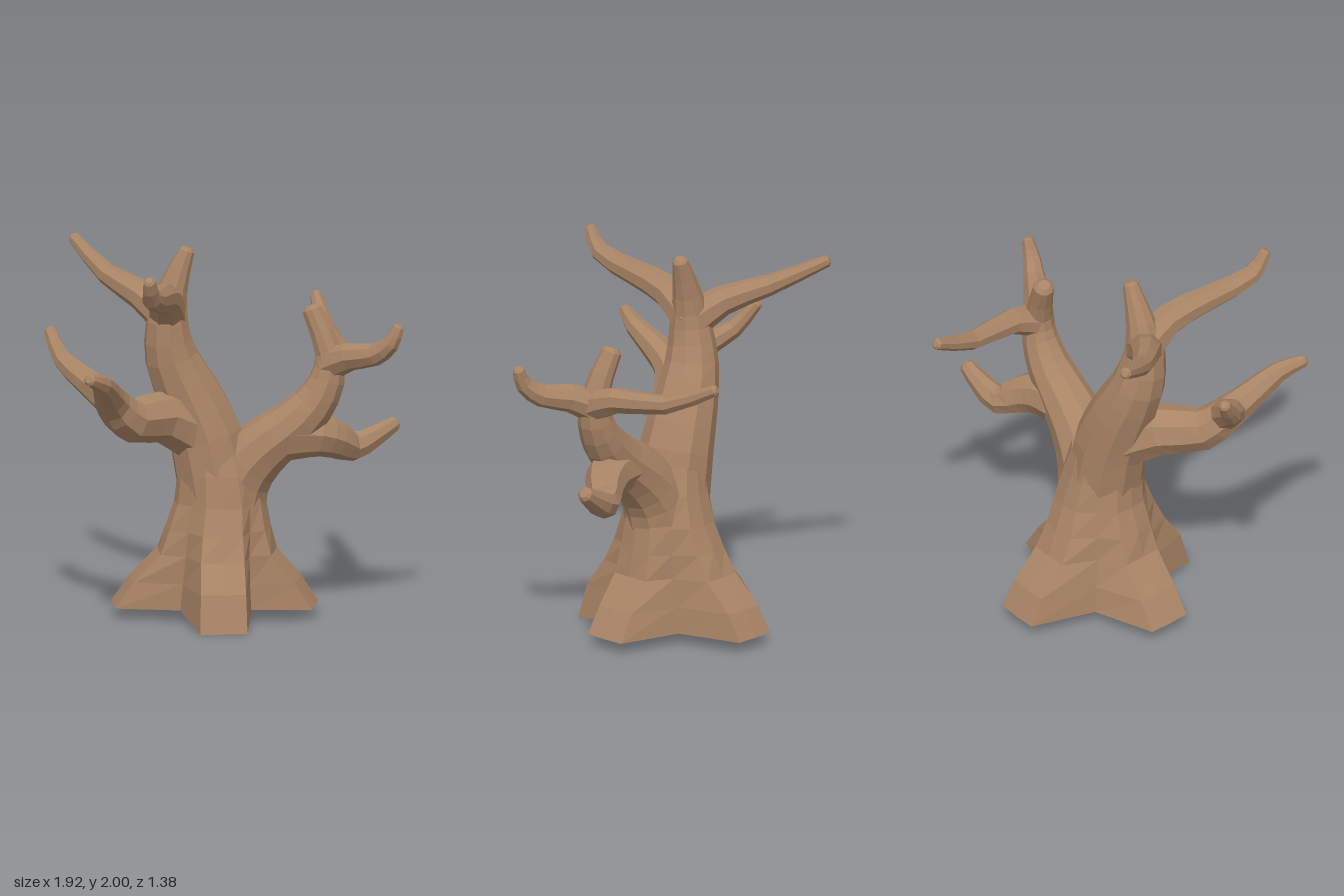
import * as THREE from 'three';

// Skin closed rings of points (counter-clockwise about the growth direction) with flat facets.
function loft(rings) {
  const n = rings[0].length;
  const pos = [];
  const tri = (...pts) => pts.forEach((p) => pos.push(p.x, p.y, p.z));
  const centre = (ring) => ring.reduce((s, p) => s.add(p), new THREE.Vector3()).divideScalar(n);
  for (let k = 0; k < rings.length - 1; k++) {
    const a = rings[k], b = rings[k + 1];
    for (let i = 0; i < n; i++) {
      const j = (i + 1) % n;
      tri(a[i], a[j], b[j]);
      tri(a[i], b[j], b[i]);
    }
  }
  const first = rings[0], last = rings[rings.length - 1];
  const c0 = centre(first), c1 = centre(last);
  for (let i = 0; i < n; i++) {
    const j = (i + 1) % n;
    tri(c0, first[j], first[i]);
    tri(c1, last[i], last[j]);
  }
  const geo = new THREE.BufferGeometry();
  geo.setAttribute('position', new THREE.Float32BufferAttribute(pos, 3));
  geo.computeVertexNormals();
  return geo;
}

// Limb along a curve, tapering from radius r0 to r1, with a small bevelled tip.
function limbGeometry(sides, r0, r1, power, path) {
  const curve = new THREE.CatmullRomCurve3(path.map((p) => new THREE.Vector3(...p)));
  const steps = (path.length - 1) * 2;
  const normal = new THREE.Vector3(0.31, 0.12, 0.94);
  const makeRing = (c, t, r) => {
    normal.addScaledVector(t, -normal.dot(t)).normalize();
    const binormal = new THREE.Vector3().crossVectors(t, normal);
    return Array.from({ length: sides }, (_, i) => {
      const a = (i / sides) * Math.PI * 2;
      return c.clone().addScaledVector(normal, Math.cos(a) * r).addScaledVector(binormal, Math.sin(a) * r);
    });
  };
  const rings = [];
  for (let s = 0; s <= steps; s++) {
    const t = s / steps;
    rings.push(makeRing(curve.getPoint(t), curve.getTangent(t), r0 + (r1 - r0) * t ** power));
  }
  const end = curve.getTangent(1);
  rings.push(makeRing(curve.getPoint(1).addScaledVector(end, r1 * 0.4), end, r1 * 0.6));
  return loft(rings);
}

// Trunk base: four squared roots that melt into a round trunk.
function trunkGeometry() {
  const roots = [-17, 60, 155, 252].map(THREE.MathUtils.degToRad);
  // height, front/back reach, side reach, root half width, valley radius, centre x, centre z
  const levels = [
    [0.06, 0.54, 0.535, 0.125, 0.28, 0, 0],
    [0.2, 0.475, 0.44, 0.12, 0.265, 0, 0.01],
    [0.35, 0.35, 0.305, 0.115, 0.25, 0, 0.03],
    [0.48, 0.285, 0.265, 0.105, 0.245, 0.005, 0.035],
    [0.62, 0.235, 0.23, 0.095, 0.23, 0.015, 0.04],
    [0.78, 0.2, 0.205, 0.085, 0.21, 0.005, 0.045],
    [0.93, 0.165, 0.165, 0.07, 0.175, -0.015, 0.03],
  ];
  return loft(levels.map(([y, frontReach, sideReach, half, valley, cx, cz], level) => {
    const ring = [];
    roots.forEach((a, k) => {
      const next = k < 3 ? roots[k + 1] : roots[0] + Math.PI * 2;
      const mid = (a + next) / 2;
      const dx = Math.sin(a), dz = Math.cos(a);
      const reach = k % 2 ? sideReach : frontReach;
      // the front root reaches slightly lower than the others
      const h = level === 0 && k === 0 ? 0 : y;
      for (const s of [-1, 0, 1]) {
        const r = s === 0 ? reach * (level > 2 ? 1.06 : 1.01) : reach;
        ring.push(new THREE.Vector3(cx + dx * r + dz * half * s, h, cz + dz * r - dx * half * s));
      }
      ring.push(new THREE.Vector3(cx + Math.sin(mid) * valley, y, cz + Math.cos(mid) * valley));
    });
    return ring;
  }));
}

export function createModel() {
  const tree = new THREE.Group();
  tree.name = 'bareTree';
  const bark = new THREE.MeshStandardMaterial({ color: 0xa98465 });
  bark.name = 'bark';
  const add = (name, geometry) => {
    const mesh = new THREE.Mesh(geometry, bark);
    mesh.name = name;
    tree.add(mesh);
  };
  const stem = (name, r0, r1, power, ...path) => add(name, limbGeometry(10, r0, r1, power, path));
  const branch = (name, r0, r1, ...path) => add(name, limbGeometry(8, r0, r1, 1, path));

  add('trunkAndRoots', trunkGeometry());

  // Main stem and its two top branches
  stem('mainStem', 0.215, 0.042, 1.3, [0.01, 0.6, 0.05], [-0.06, 0.97, 0.02], [-0.15, 1.2, -0.005],
    [-0.24, 1.4, -0.015], [-0.27, 1.6, 0], [-0.24, 1.78, 0.01], [-0.17, 1.98, 0.03]);
  branch('topFrontBranch', 0.105, 0.034, [-0.265, 1.63, 0], [-0.34, 1.75, 0.14], [-0.46, 1.8, 0.35],
    [-0.6, 1.86, 0.59], [-0.64, 1.97, 0.655]);
  branch('topBackBranch', 0.105, 0.032, [-0.265, 1.62, 0], [-0.36, 1.72, -0.15], [-0.46, 1.795, -0.38],
    [-0.525, 1.935, -0.68]);

  // Right limb sweeping forward, forked near its middle
  branch('rightLimb', 0.16, 0.034, [-0.1, 0.98, 0.02], [-0.33, 1.1, 0.06], [-0.54, 1.115, 0.16],
    [-0.66, 1.22, 0.21], [-0.75, 1.31, 0.33], [-0.83, 1.39, 0.46], [-0.935, 1.442, 0.545]);
  branch('rightBackBranch', 0.09, 0.032, [-0.64, 1.21, 0.2], [-0.76, 1.33, 0.07],
    [-0.835, 1.42, -0.08], [-0.86, 1.56, -0.2]);

  // Left limb ending in a stub, with three branches
  stem('leftLimb', 0.2, 0.055, 1, [0.05, 0.5, 0.05], [0.1, 0.75, 0.09], [0.2, 0.9, 0.15],
    [0.33, 1.015, 0.22], [0.45, 1.14, 0.27], [0.52, 1.28, 0.3], [0.53, 1.42, 0.3], [0.46, 1.65, 0.23]);
  branch('leftFrontBranch', 0.09, 0.032, [0.53, 1.36, 0.3], [0.6, 1.42, 0.42], [0.69, 1.45, 0.55],
    [0.75, 1.52, 0.63], [0.785, 1.61, 0.65]);
  branch('leftBackBranch', 0.09, 0.032, [0.54, 1.37, 0.31], [0.61, 1.43, 0.16], [0.69, 1.455, -0.14],
    [0.75, 1.575, -0.42]);
  branch('leftLowBranch', 0.14, 0.042, [0.3, 0.98, 0.21], [0.48, 0.975, 0.24], [0.6, 0.935, 0.23],
    [0.71, 0.885, 0.2], [0.82, 0.93, 0.215], [0.93, 1.0, 0.245]);
  return tree;
}
